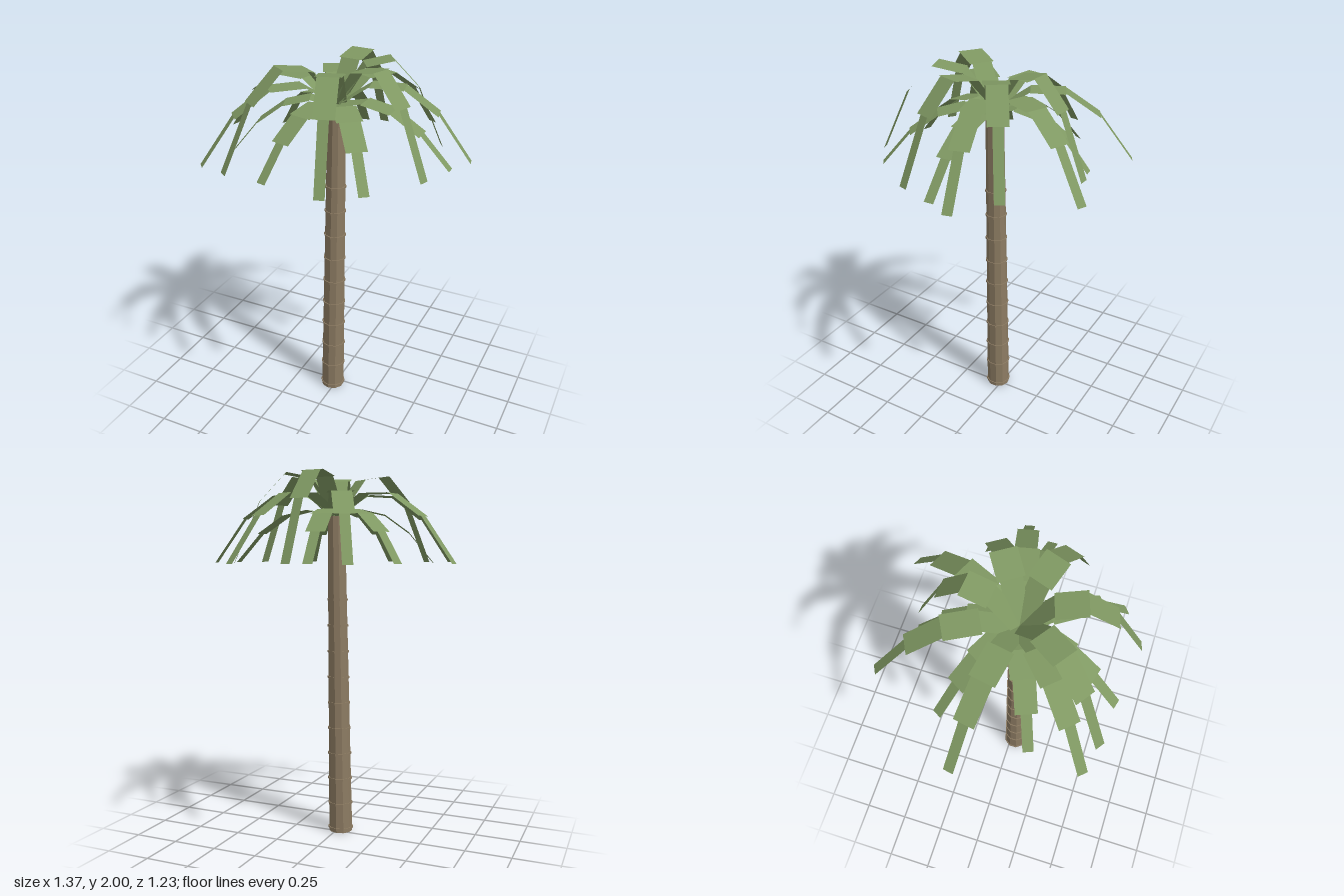
import * as THREE from 'three';

const HUB = new THREE.Vector3(0.01, 1.775, 0.03);
const TRUNK_SIDES = 10;

// The trunk leans slightly and narrows towards the crown.
const leanX = (y) => THREE.MathUtils.lerp(-0.018, HUB.x, y / HUB.y);
const trunkRadius = (y) => THREE.MathUtils.lerp(0.066, 0.047, y / HUB.y);

// A tapered, sheared cylinder that follows the trunk between two heights.
function trunkSection(y0, y1, extra) {
  const g = new THREE.CylinderGeometry(
    trunkRadius(y1) + extra, trunkRadius(y0) + extra, y1 - y0, TRUNK_SIDES);
  g.translate(0, (y0 + y1) / 2, HUB.z);
  const p = g.attributes.position;
  for (let i = 0; i < p.count; i++) p.setX(i, p.getX(i) + leanX(p.getY(i)));
  g.computeVertexNormals();
  return g;
}

// Four flat leaf strips of stepped width laid along a drooping parabola.
const STRIP_WIDTHS = [0.105, 0.13, 0.105, 0.052];
const DROP = 0.25;

function frondGeometry(length, arch) {
  const positions = [];
  const index = [];
  const height = (t) => -DROP * t + 4 * arch * t * (1 - t);
  STRIP_WIDTHS.forEach((width, i) => {
    const w = width / 2;
    for (const t of [i / 4, (i + 1) / 4]) {
      positions.push(length * t, height(t), -w, length * t, height(t), w);
    }
    const a = i * 4;
    index.push(a, a + 1, a + 2, a + 1, a + 3, a + 2);
  });
  const g = new THREE.BufferGeometry();
  g.setAttribute('position', new THREE.Float32BufferAttribute(positions, 3));
  g.setIndex(index);
  g.computeVertexNormals();
  return g;
}

// Three tiers of fronds: arch height, and [heading in degrees, reach] of each.
const TIERS = [
  { name: 'upperFrond', arch: 0.35,
    fronds: [[-85, 0.532], [-33, 0.555], [19, 0.576], [72, 0.6], [125.5, 0.627]] },
  { name: 'middleFrond', arch: 0.235,
    fronds: [[-12.6, 0.687], [-65, 0.704], [-117.3, 0.709], [-169.7, 0.704], [137.7, 0.698]] },
  { name: 'lowerFrond', arch: 0.13,
    fronds: [[-97, 0.509], [-149, 0.52], [158, 0.53], [105, 0.548], [52, 0.575], [-0.8, 0.61]] },
];

export function createModel() {
  const bark = new THREE.MeshStandardMaterial({ color: 0x8c7b62, flatShading: true });
  bark.name = 'bark';
  const leaf = new THREE.MeshStandardMaterial({
    color: 0x7f9862, flatShading: true, side: THREE.DoubleSide });
  leaf.name = 'leaf';

  const palm = new THREE.Group();
  palm.name = 'palmTree';

  // Trunk with evenly spaced growth rings
  const trunk = new THREE.Group();
  trunk.name = 'trunk';
  const stem = new THREE.Mesh(trunkSection(0, HUB.y, 0), bark);
  stem.name = 'stem';
  trunk.add(stem);
  for (let i = 0; i < 10; i++) {
    const y = 0.02 + i * 0.145;
    const ring = new THREE.Mesh(trunkSection(y - 0.006, y + 0.006, 0.005), bark);
    ring.name = 'growthRing';
    trunk.add(ring);
  }
  palm.add(trunk);

  // Crown of fronds
  const crown = new THREE.Group();
  crown.name = 'crown';
  crown.position.copy(HUB);
  for (const { name, arch, fronds } of TIERS) {
    for (const [heading, reach] of fronds) {
      const frond = new THREE.Mesh(frondGeometry(reach, arch), leaf);
      frond.name = name;
      frond.rotation.y = -THREE.MathUtils.degToRad(heading);
      crown.add(frond);
    }
  }
  palm.add(crown);

  return palm;
}
